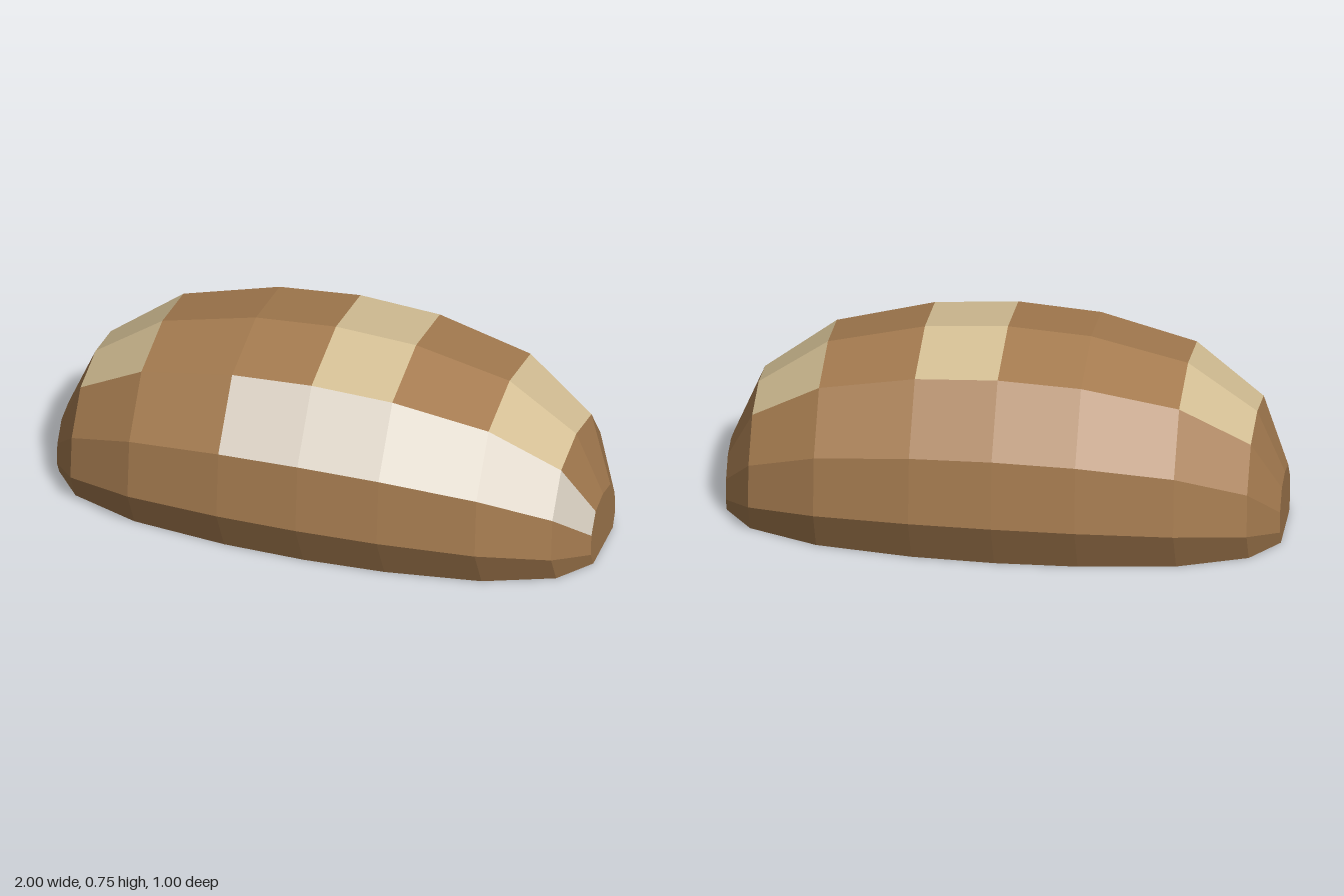
import * as THREE from 'three';

// Half cross-section [z, y] at the widest point, bottom to ridge
const HALF = [[0.4, 0], [0.5, 0.19], [0.475, 0.45], [0.3, 0.69], [0, 0.75]];
const SECTION = [...HALF, ...HALF.slice(0, -1).reverse().map(([z, y]) => [-z, y])];

// Stations along the loaf: [x, scale of the cross-section]
const TIPS = [[0.3, 0.973], [0.65, 0.86], [0.9, 0.62], [1, 0.3]];
const STATIONS = [...TIPS.map(([x, s]) => [-x, s]).reverse(), [0, 1], ...TIPS];

const point = (i, j) => {
  const [x, s] = STATIONS[i];
  const [z, y] = SECTION[j % SECTION.length];
  return [x, y * s, z * s];
};

// Which part the facet between stations i, i+1 and section points j, j+1 belongs to
function partOf(i, j) {
  const onTop = j === 3 || j === 4;
  if (onTop && [1, 4, 6].includes(i)) return 'scoreCuts';
  if (j === 2 && i >= 3) return 'paleSide';
  return 'crust';
}

export function createModel() {
  const group = new THREE.Group();
  group.name = 'loaf';
  const materials = {
    crust: new THREE.MeshStandardMaterial({ name: 'crust brown', color: 0xa67c50, flatShading: true }),
    scoreCuts: new THREE.MeshStandardMaterial({ name: 'score tan', color: 0xd6c196, flatShading: true }),
    paleSide: new THREE.MeshStandardMaterial({ name: 'pale cream', color: 0xdad1c3, flatShading: true }),
  };
  const faces = { crust: [], scoreCuts: [], paleSide: [] };
  const n = SECTION.length;
  const last = STATIONS.length - 1;

  // Skin and flat underside
  for (let i = 0; i < last; i++) {
    for (let j = 0; j < n; j++) {
      const a = point(i, j), b = point(i + 1, j), c = point(i + 1, j + 1), d = point(i, j + 1);
      faces[partOf(i, j)].push(...a, ...b, ...c, ...a, ...c, ...d);
    }
  }

  // Flat end caps
  for (let j = 1; j < n - 1; j++) {
    faces.crust.push(...point(0, 0), ...point(0, j), ...point(0, j + 1));
    faces.crust.push(...point(last, 0), ...point(last, j + 1), ...point(last, j));
  }

  for (const name of Object.keys(faces)) {
    const geometry = new THREE.BufferGeometry();
    geometry.setAttribute('position', new THREE.Float32BufferAttribute(faces[name], 3));
    geometry.computeVertexNormals();
    const mesh = new THREE.Mesh(geometry, materials[name]);
    mesh.name = name;
    group.add(mesh);
  }
  return group;
}
